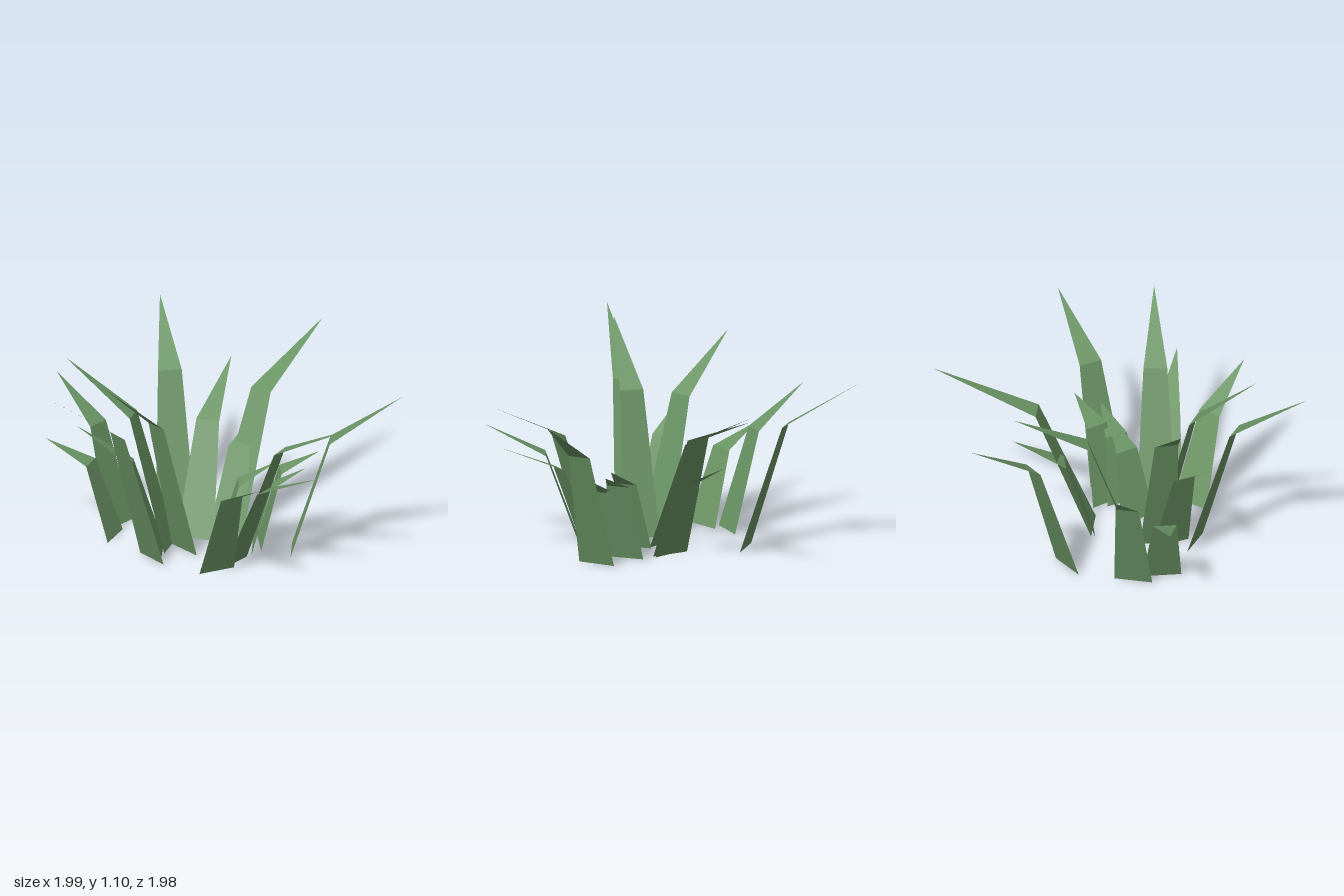
import * as THREE from 'three';

// Each blade: base centre x, z, knee height, tip x, y, z
const BLADES = [
  // back
  [-0.39, -0.305, 0.71, -0.73, 0.98, -0.86],
  [0, -0.13, 0.72, 0.18, 0.95, -0.99],
  [-0.11, 0.055, 0.61, -0.18, 0.82, -0.58],
  [0, -0.13, 0.42, 0, 0.57, -0.57],
  // left side
  [0.43, -0.015, 0.65, 0.99, 0.91, -0.24],
  [0.235, -0.025, 0.43, 0.52, 0.53, -0.19],
  [0.23, 0.06, 0.37, 0.5, 0.48, -0.05],
  [0.05, 0.115, 0.38, 0.34, 0.5, -0.03],
  [0.225, 0.23, 0.69, 0.95, 0.92, 0.28],
  [0.225, 0.27, 0.47, 0.77, 0.63, 0.39],
  // front
  [0.18, 0.415, 0.49, 0.58, 0.66, 0.74],
  [-0.21, 0.405, 0.78, -0.53, 1.09, 0.99],
  [-0.1, 0.22, 0.78, -0.35, 1.1, 0.73],
  // right side
  [-0.205, 0.275, 0.51, -0.64, 0.72, 0.44],
  [-0.19, 0.21, 0.75, -0.78, 1.04, 0.28],
  [-0.52, 0.2, 0.41, -0.93, 0.51, 0.21],
  [-0.56, 0.04, 0.55, -1, 0.78, -0.09],
];

const BASE_WIDTH = 0.21;
const KNEE_WIDTH = 0.13;
const KNEE_AT = 0.35; // share of the horizontal reach from base to tip

// Flat tapering stalk up to the knee, then a pointed triangle bent outward
function bladeGeometry([x, z, kneeY, tipX, tipY, tipZ]) {
  const base = new THREE.Vector3(x, 0, z);
  const tip = new THREE.Vector3(tipX, tipY, tipZ);
  const knee = base.clone().lerp(tip, KNEE_AT).setY(kneeY);
  const side = new THREE.Vector3(tipZ - z, 0, x - tipX).normalize();
  const edge = (centre, width) => [0.5, -0.5].map((s) => centre.clone().addScaledVector(side, s * width));
  const [a, b] = edge(base, BASE_WIDTH);
  const [c, d] = edge(knee, KNEE_WIDTH);
  const geometry = new THREE.BufferGeometry().setFromPoints([a, b, d, a, d, c, c, d, tip]);
  geometry.computeVertexNormals();
  return geometry;
}

export function createModel() {
  const grassGreen = new THREE.MeshStandardMaterial({ color: 0x6a9464, side: THREE.DoubleSide, flatShading: true });
  grassGreen.name = 'grass green';

  const tuft = new THREE.Group();
  tuft.name = 'grassTuft';
  BLADES.forEach((blade, i) => {
    const mesh = new THREE.Mesh(bladeGeometry(blade), grassGreen);
    mesh.name = `grassBlade${i + 1}`;
    tuft.add(mesh);
  });
  return tuft;
}
